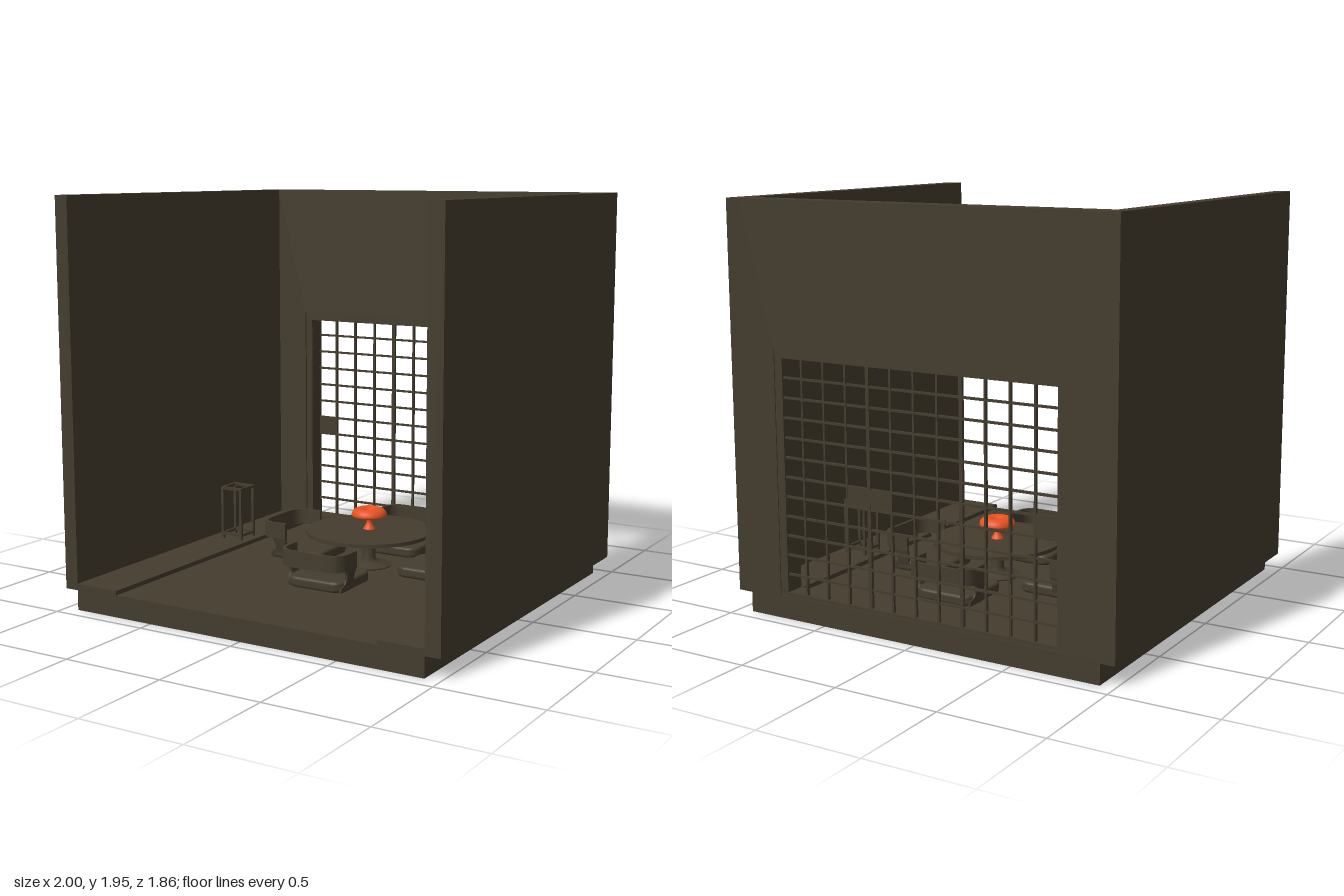
import * as THREE from 'three';

const wood = new THREE.MeshStandardMaterial({ color: 0x443c2e });
wood.name = 'dark brown';
const orange = new THREE.MeshStandardMaterial({ color: 0xe8521f });
orange.name = 'lamp orange';

function mesh(parent, name, geo, mat = wood) {
  const m = new THREE.Mesh(geo, mat);
  m.name = name;
  parent.add(m);
  return m;
}

// Box given by its minimum and maximum corners
function box(parent, name, [x0, y0, z0], [x1, y1, z1]) {
  const m = mesh(parent, name, new THREE.BoxGeometry(x1 - x0, y1 - y0, z1 - z0));
  m.position.set((x0 + x1) / 2, (y0 + y1) / 2, (z0 + z1) / 2);
  return m;
}

function group(parent, name) {
  const g = new THREE.Group();
  g.name = name;
  parent.add(g);
  return g;
}

function lathe(parent, name, points, mat) {
  return mesh(parent, name, new THREE.LatheGeometry(points.map(p => new THREE.Vector2(...p)), 48), mat);
}

const FLOOR = 0.107, STEP = 0.128;

function buildRoom(root) {
  const room = group(root, 'room');
  box(room, 'floor', [-0.93, 0, -0.93], [0.925, FLOOR, 0.93]);
  box(room, 'leftWall', [0.925, 0.096, -0.93], [1, 1.95, 0.93]);
  box(room, 'rightWall', [-1, 0.096, -0.93], [-0.93, 1.95, 0.93]);
  box(room, 'leftPlatform', [0.7, 0.1, -0.83], [0.925, STEP, 0.932]);
  box(room, 'rightPlatform', [-0.93, 0.1, -0.83], [-0.695, STEP, 0.932]);

  // Back wall with the window opening
  const s = new THREE.Shape();
  s.moveTo(-0.93, 0.096).lineTo(0.925, 0.096).lineTo(0.925, 1.95).lineTo(-0.93, 1.95).closePath();
  const hole = new THREE.Path();
  hole.moveTo(-0.76, 0.11).lineTo(-0.76, 1.277).lineTo(0.75, 1.277).lineTo(0.75, 0.11).closePath();
  s.holes.push(hole);
  mesh(room, 'backWall', new THREE.ExtrudeGeometry(s, { depth: 0.11, bevelEnabled: false })).position.z = -0.93;
}

function buildScreen(root) {
  const screen = group(root, 'latticeScreen');
  // Outer frame
  box(screen, 'frameRight', [-0.76, 0.11, -0.925], [-0.723, 1.277, -0.83]);
  box(screen, 'frameLeft', [0.708, 0.11, -0.925], [0.75, 1.277, -0.83]);
  box(screen, 'frameTop', [-0.723, 1.235, -0.925], [0.708, 1.277, -0.83]);
  box(screen, 'sill', [-0.723, 0.11, -0.925], [0.708, STEP, -0.83]);
  // Lattice of thin bars, thicker where panels meet
  const dx = 1.46 / 12, dy = 0.093;
  for (let i = 1; i < 12; i++) {
    const x = -0.735 + i * dx, h = i % 4 === 0 ? 0.009 : 0.005;
    box(screen, 'verticalBar', [x - h, STEP, -0.92], [x + h, 1.235, -0.905]);
    const y = 1.238 - i * dy;
    box(screen, 'horizontalBar', [-0.723, y - 0.005, -0.919], [0.708, y + 0.005, -0.906]);
  }
  // Solid infill of single cells
  box(screen, 'solidCell', [-0.723, 0.593, -0.918], [-0.613, 0.684, -0.907]);
  box(screen, 'solidCell', [0.115, 0.593, -0.918], [0.36, 0.684, -0.907]);
}

// Open box frame made of twelve edges
function buildLantern(root, x, name) {
  const g = group(root, name);
  g.position.set(x, STEP, -0.2);
  const r = 0.064, h = 0.278, t = 0.014;
  for (const sx of [-1, 1]) {
    for (const sz of [-1, 1]) {
      const a = sx * (r - t / 2), b = sz * (r - t / 2);
      box(g, 'post', [a - t / 2, 0, b - t / 2], [a + t / 2, h, b + t / 2]);
    }
    const c = sx * (r - t / 2);
    for (const y of [0.018, h - t]) {
      box(g, 'sideRail', [c - t / 2, y, -r + t], [c + t / 2, y + t, r - t]);
      box(g, 'crossRail', [-r + t, y, c - t / 2], [r - t, y + t, c + t / 2]);
    }
  }
}

// Outline of a U open toward smaller y
function uPath(path, w, end, outer, r, back) {
  const pts = [];
  for (let i = 0; i <= 12; i++) {
    const a = (i / 12) * Math.PI / 2;
    pts.push([w - r + r * Math.cos(a), outer - r + r * Math.sin(a)]);
  }
  const all = [[w, end], ...pts, ...pts.map(([x, y]) => [-x, y]).reverse(), [-w, end]];
  if (back) all.reverse();
  all.forEach(([x, y], i) => (i === 0 && !back ? path.moveTo(x, y) : path.lineTo(x, y)));
}

// Low chair; the table centre is the local origin and the back is at +z
function buildChair(root, name, x, z, angle) {
  const g = group(root, name);
  g.position.set(x, 0, z);
  g.rotation.y = angle;

  // Rounded cushion
  const w = 0.14, r = 0.045, seat = new THREE.Shape();
  seat.absarc(w - r, w - r, r, 0, Math.PI / 2);
  seat.absarc(r - w, w - r, r, Math.PI / 2, Math.PI);
  seat.absarc(r - w, r - w, r, Math.PI, Math.PI * 1.5);
  seat.absarc(w - r, r - w, r, Math.PI * 1.5, Math.PI * 2);
  const seatGeo = new THREE.ExtrudeGeometry(seat, {
    depth: 0.022, bevelThickness: 0.015, bevelSize: 0.013, bevelSegments: 4, curveSegments: 8,
  });
  seatGeo.rotateX(Math.PI / 2);
  mesh(g, 'seat', seatGeo).position.set(0, 0.145, 0.367);

  // Wrap-around backrest band
  const band = new THREE.Shape();
  uPath(band, 0.174, 0.4, 0.556, 0.075, false);
  uPath(band, 0.158, 0.4, 0.54, 0.06, true);
  const bandGeo = new THREE.ExtrudeGeometry(band, { depth: 0.08, bevelEnabled: false });
  bandGeo.rotateX(Math.PI / 2);
  mesh(g, 'backrest', bandGeo).position.y = 0.295;

  // Side supports, flared at both ends and leaning inward at the foot
  const leg = new THREE.Shape();
  leg.moveTo(0.39, FLOOR).lineTo(0.5, FLOOR).lineTo(0.5, 0.135);
  leg.quadraticCurveTo(0.47, 0.14, 0.468, 0.17);
  leg.quadraticCurveTo(0.468, 0.215, 0.5, 0.22);
  leg.lineTo(0.4, 0.22).lineTo(0.405, 0.15).closePath();
  for (const side of [-1, 1]) {
    const geo = new THREE.ExtrudeGeometry(leg, { depth: 0.014, bevelEnabled: false });
    geo.rotateY(-Math.PI / 2); // outline now lies in z and y
    const p = geo.attributes.position;
    for (let i = 0; i < p.count; i++) {
      const lean = Math.max(0, 0.22 - p.getY(i)) * 0.24;
      p.setX(i, p.getX(i) + 0.007 + side * (0.166 - lean));
    }
    geo.computeVertexNormals();
    mesh(g, 'sideSupport', geo);
  }
}

function buildTable(root) {
  const table = group(root, 'table');
  table.position.set(0.045, 0, -0.138);
  const top = mesh(table, 'tableTop', new THREE.CylinderGeometry(0.312, 0.312, 0.018, 64));
  top.position.y = 0.281;
  lathe(table, 'pedestal', [[0, FLOOR], [0.11, FLOOR], [0.11, 0.115], [0.045, 0.125],
    [0.032, 0.15], [0.032, 0.25], [0.045, 0.272]]);

  // Mushroom lamp with a dimpled cap
  const lamp = group(table, 'lamp');
  lamp.position.y = 0.29;
  lathe(lamp, 'lampStem', [[0, 0], [0.03, 0], [0.03, 0.005], [0.021, 0.018], [0.013, 0.035],
    [0.013, 0.05], [0.025, 0.07]], orange);
  lathe(lamp, 'lampCap', [[0.01, 0.068], [0.08, 0.066], [0.087, 0.069], [0.088, 0.078], [0.083, 0.092],
    [0.072, 0.103], [0.055, 0.109], [0.038, 0.107], [0.022, 0.1], [0.01, 0.09], [0, 0.086]], orange);
}

export function createModel() {
  const root = new THREE.Group();
  root.name = 'diningRoom';
  buildRoom(root);
  buildScreen(root);
  buildLantern(root, 0.815, 'leftLantern');
  buildLantern(root, -0.795, 'rightLantern');
  buildTable(root);
  buildChair(root, 'frontChair', 0.043, -0.125, 0);
  buildChair(root, 'leftChair', 0.04, -0.165, Math.PI / 2);
  buildChair(root, 'backChair', 0.043, -0.125, Math.PI);
  buildChair(root, 'rightChair', 0.04, -0.165, -Math.PI / 2);
  return root;
}
